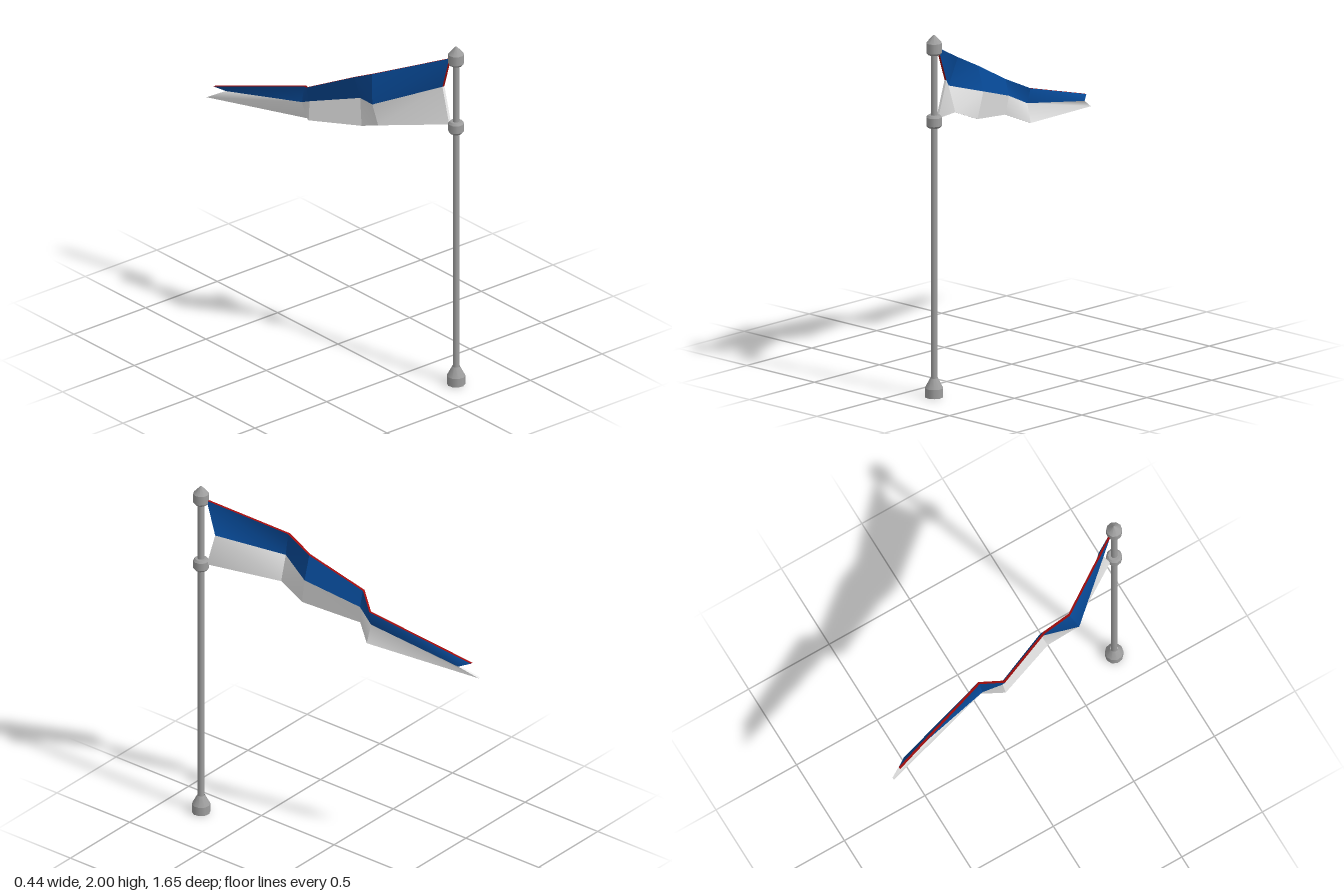
import * as THREE from 'three';
import { mergeGeometries } from 'three/addons/utils/BufferGeometryUtils.js';

const mat = (name, color) => {
  const m = new THREE.MeshStandardMaterial({ color });
  m.name = name;
  return m;
};

function merged(name, geometries, material) {
  const mesh = new THREE.Mesh(mergeGeometries(geometries), material);
  mesh.name = name;
  return mesh;
}

// Four-cornered face, split from first to third corner and shaded softly across the split
function quad(...corners) {
  const geo = new THREE.BufferGeometry().setFromPoints(corners);
  geo.setIndex([0, 1, 2, 0, 2, 3]);
  geo.computeVertexNormals();
  return geo;
}

// Turned part: smooth around, with a sharp edge at each profile point [radius, y]
function turned(name, profile, material) {
  const points = profile.map(p => new THREE.Vector2(...p));
  const bands = points.slice(1).map((p, i) => new THREE.LatheGeometry([points[i], p], 10, Math.PI / 20));
  return merged(name, bands, material);
}

export function createModel() {
  const steel = mat('steel grey', 0x9e9e9e);
  steel.side = THREE.DoubleSide; // the foot is open underneath
  const blue = mat('cloth blue', 0x074a98);
  const white = mat('cloth white', 0xe8e8e8);
  const red = mat('trim red', 0xa00c0c);
  const model = new THREE.Group();

  // Pole and fittings
  const pole = new THREE.Group();
  pole.name = 'pole';
  pole.position.set(0.171, 0, 0.776);
  const parts = {
    shaft: [[0.018, 0.08], [0.018, 1.91]],
    foot: [[0.05, 0], [0.05, 0.05], [0.021, 0.105]],
    lowerCollar: [[0.018, 1.488], [0.033, 1.488], [0.043, 1.5], [0.043, 1.545], [0.033, 1.557], [0.018, 1.557]],
    finial: [[0.018, 1.89], [0.033, 1.89], [0.043, 1.902], [0.043, 1.955], [0.005, 1.998], [0, 2]],
  };
  for (const [name, profile] of Object.entries(parts)) pole.add(turned(name, profile, steel));
  model.add(pole);

  // Cloth centre lines from hoist to fly: top edge, colour seam, bottom edge
  const rows = [
    [[0.16, 1.92, 0.74], [-0.06, 1.755, 0.36], [-0.055, 1.68, 0.21],
      [-0.14, 1.533, -0.09], [-0.06, 1.475, -0.2], [-0.205, 1.305, -0.78]],
    [[0.163, 1.73, 0.68], [-0.09, 1.6, 0.4], [-0.015, 1.545, 0.21],
      [-0.115, 1.445, -0.09], [-0.08, 1.39, -0.195], [-0.165, 1.285, -0.725]],
    [[0.16, 1.53, 0.74], [-0.045, 1.46, 0.395], [-0.03, 1.395, 0.24],
      [-0.13, 1.34, -0.08], [-0.05, 1.287, -0.19], [-0.215, 1.227, -0.825]],
  ];

  // Two skins, shifted sideways to give the cloth its thickness
  const skin = dx => rows.map(r => r.map(([x, y, z]) => new THREE.Vector3(x + dx, y, z)));
  const L = skin(0.007), R = skin(-0.007);

  const flag = new THREE.Group();
  flag.name = 'flag';
  [['upperCloth', blue, 'upperTrim', red], ['lowerCloth', white, 'lowerTrim', white]]
    .forEach(([clothName, clothMat, trimName, trimMat], r) => {
      const faces = [], trim = [];
      for (let c = 0; c < 5; c++) {
        // The second panel creases along its other diagonal
        const ring = s => {
          const k = [s[r][c], s[r + 1][c], s[r + 1][c + 1], s[r][c + 1]];
          return c === 1 ? [k[1], k[2], k[3], k[0]] : k;
        };
        const [a, b, d, e] = ring(R);
        faces.push(quad(...ring(L)), quad(a, e, d, b));
        // Long outer edge
        if (r === 0) trim.push(quad(R[0][c], L[0][c], L[0][c + 1], R[0][c + 1]));
        else trim.push(quad(R[2][c + 1], L[2][c + 1], L[2][c], R[2][c]));
      }
      // Hoist and fly edges
      trim.push(quad(R[r][0], R[r + 1][0], L[r + 1][0], L[r][0]));
      trim.push(quad(L[r][5], L[r + 1][5], R[r + 1][5], R[r][5]));
      flag.add(merged(clothName, faces, clothMat), merged(trimName, trim, trimMat));
    });
  model.add(flag);
  return model;
}
